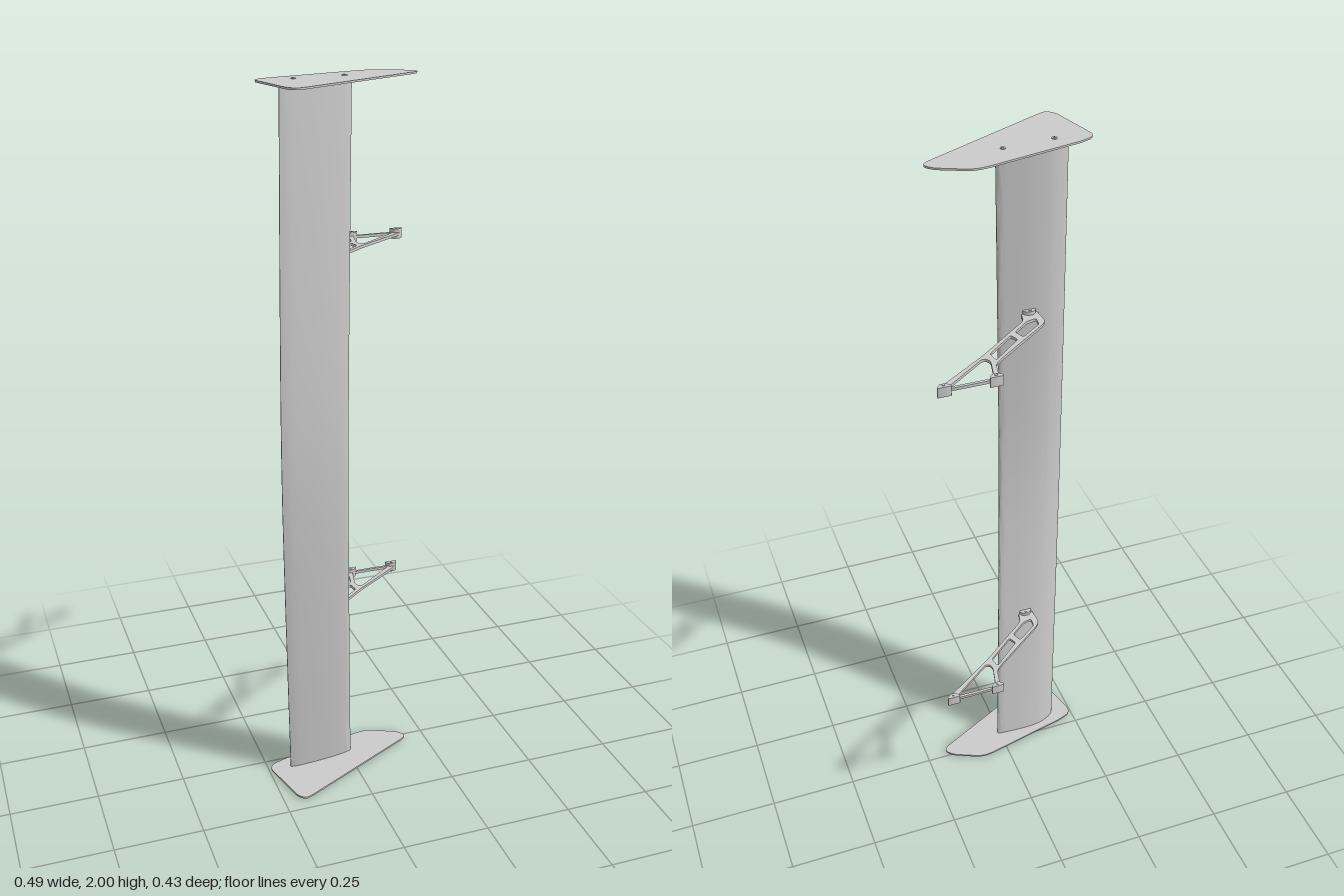
import * as THREE from 'three';
import { toCreasedNormals } from 'three/addons/utils/BufferGeometryUtils.js';

const grey = new THREE.MeshStandardMaterial({ color: 0xcccccc, side: THREE.DoubleSide });
const MID = 1; // middle of the span
const vec = (pts) => pts.map(([x, z]) => new THREE.Vector2(x, z));

function add(parent, name, geometry, x = 0, y = 0, z = 0) {
  const mesh = new THREE.Mesh(geometry, grey);
  mesh.name = name;
  mesh.position.set(x, y, z);
  parent.add(mesh);
  return mesh;
}

// Outline with rounded corners, radius limited by the neighbouring edges
function rounded(path, pts, r) {
  const p = vec(pts), n = p.length;
  for (let i = 0; i < n; i++) {
    const c = p[i], a = p[(i + n - 1) % n], b = p[(i + 1) % n];
    const toward = (q) => c.clone().lerp(q, Math.min(0.45, r / c.distanceTo(q)));
    const s = toward(a), e = toward(b);
    if (i) path.lineTo(s.x, s.y); else path.moveTo(s.x, s.y);
    path.quadraticCurveTo(c.x, c.y, e.x, e.y);
  }
  path.closePath();
  return path;
}

// Flat plate lying in x-z, centred on y = 0
function plate(pts, thickness, r, holes = []) {
  const shape = rounded(new THREE.Shape(), pts, r);
  holes.forEach((h) => shape.holes.push(rounded(new THREE.Path(), h, 0.007)));
  const g = new THREE.ExtrudeGeometry(shape, { depth: thickness, bevelEnabled: false, curveSegments: 6 });
  g.translate(0, 0, -thickness / 2).rotateX(Math.PI / 2);
  return toCreasedNormals(g, 0.6);
}

// Bow of the blade along the span: 1 in the middle, 0 at the ends
const bow = (t) => 1 - (Math.sqrt(t * t + 0.09) - 0.3) / (Math.sqrt(1.09) - 0.3);

function bladeGeometry() {
  const profile = new THREE.SplineCurve(vec([
    [-0.187, 0.058], [-0.16, 0.06], [-0.1, 0.056], [-0.05, 0.05], [-0.005, 0.041], [0.009, 0.033],
    [0.003, 0.026], [-0.03, 0.023], [-0.08, 0.021], [-0.13, 0.025], [-0.165, 0.038], [-0.185, 0.053],
    [-0.187, 0.058],
  ])).getPoints(60);
  const n = profile.length, rows = 40, pos = [], idx = [];
  for (let j = 0; j <= rows; j++) {
    const t = (j / rows) * 2 - 1, b = bow(t);
    profile.forEach((p) => pos.push(p.x - 0.03 * b, MID + t * 0.992, p.y + 0.064 * b));
    if (j === rows) break;
    for (let i = 0; i < n - 1; i++) {
      const a = j * n + i;
      idx.push(a, a + 1, a + n, a + 1, a + n + 1, a + n);
    }
  }
  const g = new THREE.BufferGeometry();
  g.setAttribute('position', new THREE.Float32BufferAttribute(pos, 3));
  g.setIndex(idx);
  return toCreasedNormals(g, 0.7);
}

// Thin end plate with two bolts on its outer face
function endPlate(side) {
  const g = new THREE.Group();
  g.name = side > 0 ? 'upperEndPlate' : 'lowerEndPlate';
  add(g, 'plate', plate([
    [-0.246, 0.048], [-0.236, 0.03], [-0.204, 0.017], [0.055, -0.043], [0.079, -0.045], [0.1, -0.041],
    [0.171, -0.009], [0.188, 0.008], [0.19, 0.02], [0.179, 0.031], [-0.168, 0.207], [-0.19, 0.215],
    [-0.209, 0.196],
  ], 0.005, 0.012));
  for (const [x, z] of [[-0.149, 0.053], [-0.013, 0.04]]) {
    add(g, 'washer', new THREE.CylinderGeometry(0.007, 0.007, 0.003, 20), x, side * 0.003, z);
    add(g, 'boltHead', new THREE.CylinderGeometry(0.003, 0.0035, 0.004, 12), x, side * 0.004, z);
  }
  g.position.y = MID + side * 0.994;
  return g;
}

// Cut-out bracket with two feet and a pad under the blade
function bracket(y) {
  const g = new THREE.Group();
  g.name = 'bracket';
  add(g, 'strut', plate([
    [-0.113, 0.06], [-0.116, 0.005], [-0.1, -0.012], [-0.03, -0.065], [0.058, -0.132], [0.073, -0.148],
    [0.077, -0.17], [0.086, -0.211], [0.243, -0.211], [0.232, -0.196], [0.09, -0.098], [0.005, -0.03],
    [-0.063, 0.025], [-0.07, 0.06],
  ], 0.008, 0.01, [
    [[0.098, -0.203], [0.215, -0.203], [0.098, -0.114], [0.086, -0.117], [0.081, -0.132]],
    [[0.065, -0.128], [0.071, -0.097], [-0.007, -0.032], [-0.018, -0.056]],
    [[-0.036, -0.049], [-0.024, -0.02], [-0.07, 0.018], [-0.098, 0.025], [-0.095, -0.004]],
  ]));
  for (const x of [0.094, 0.227]) {
    add(g, 'foot', plate([
      [x - 0.018, -0.215], [x + 0.018, -0.215], [x + 0.018, -0.21], [x + 0.007, -0.199],
      [x - 0.007, -0.199], [x - 0.018, -0.21],
    ], 0.028, 0.003));
    add(g, 'footBolt', new THREE.CylinderGeometry(0.004, 0.004, 0.032, 12), x, 0, -0.206);
  }
  add(g, 'bladePad', plate([
    [-0.109, 0.062], [-0.109, 0.054], [-0.099, 0.044], [-0.083, 0.044], [-0.073, 0.054], [-0.073, 0.062],
  ], 0.028, 0.003));
  add(g, 'padBolt', new THREE.CylinderGeometry(0.004, 0.004, 0.032, 12), -0.091, 0, 0.051);
  g.position.y = y;
  return g;
}

export function createModel() {
  const model = new THREE.Group();
  model.name = 'rearWing';
  add(model, 'blade', bladeGeometry());
  for (const side of [-1, 1]) {
    model.add(endPlate(side), bracket(MID + side * 0.525));
  }
  return model;
}
